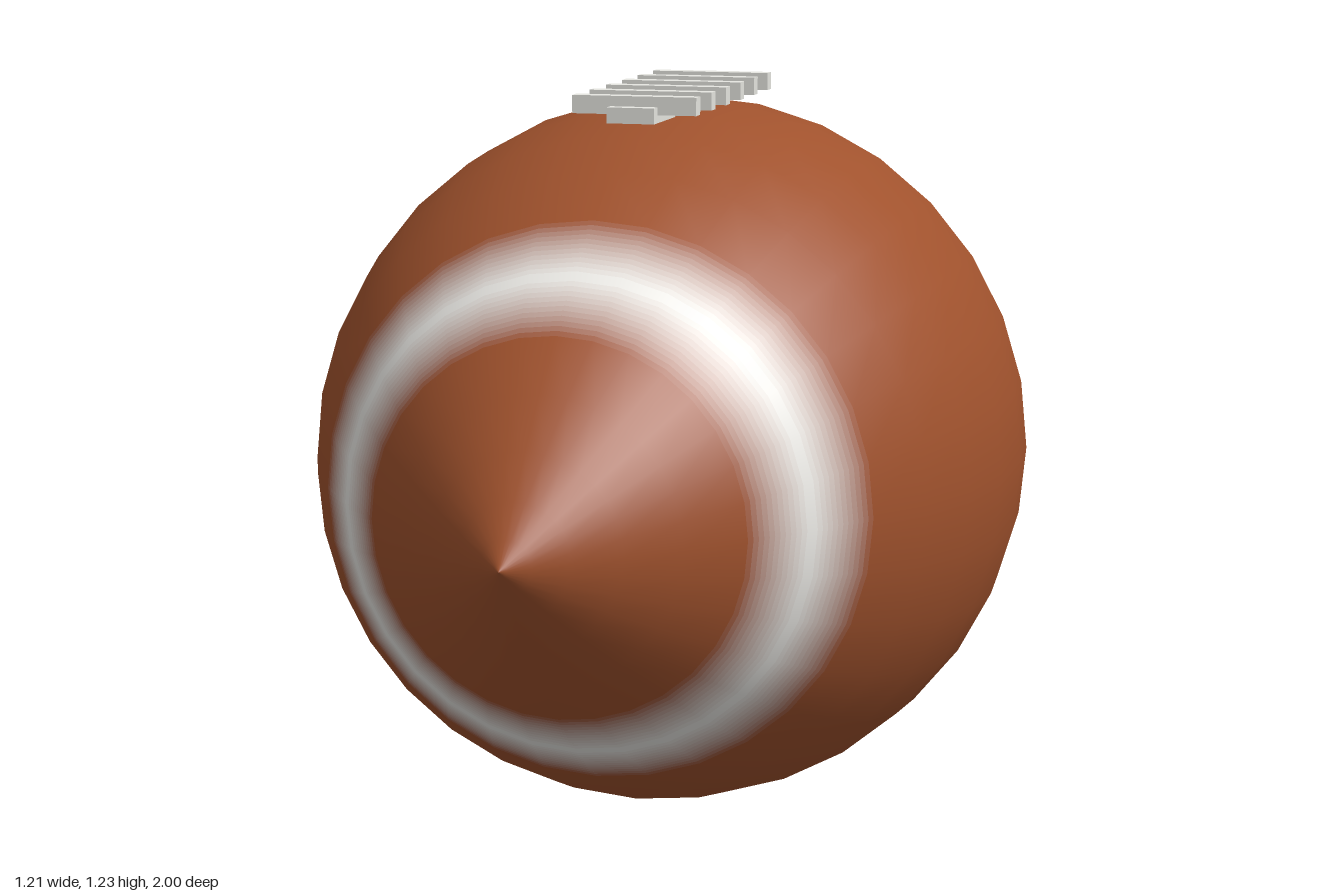
import * as THREE from 'three';

const RADIUS = 0.605, SIDES = 32, ROWS = 24;
const LEATHER = new THREE.Color(0xa0522d), WHITE = new THREE.Color(0xf0f0ec);

const material = (color) => new THREE.MeshStandardMaterial({ color });

// Profile point on ring t of the ball, running from the back tip (0) to the front tip (ROWS);
// fractional t lies on the straight line between two rings.
function profilePoint(t) {
  const ring = (i) => {
    const a = (i / ROWS) * Math.PI;
    return new THREE.Vector2(RADIUS * Math.sin(a) ** 2, -Math.cos(a));
  };
  const i = Math.floor(t);
  return t === i ? ring(i) : ring(i).lerp(ring(i + 1), t - i);
}

// Slice of the ball between two rings, with normals shared across slices
function slice(name, t0, t1, color) {
  const points = [profilePoint(t0)];
  for (let t = Math.floor(t0) + 1; t < t1; t++) points.push(profilePoint(t));
  points.push(profilePoint(t1));
  const geometry = new THREE.LatheGeometry(points, SIDES);
  const normal = geometry.attributes.normal;
  for (let i = 0; i < normal.count; i++) {
    const phi = (Math.floor(i / points.length) / SIDES) * Math.PI * 2;
    const axial = 2 * RADIUS * points[i % points.length].y;
    const n = new THREE.Vector3(Math.sin(phi), axial, Math.cos(phi)).normalize();
    normal.setXYZ(i, n.x, n.y, n.z);
  }
  geometry.rotateX(Math.PI / 2);
  const mesh = new THREE.Mesh(geometry, material(color));
  mesh.name = name;
  return mesh;
}

// Stripe that fades from leather to white and back over two rings
function stripe(name, centre) {
  const group = new THREE.Group();
  group.name = name;
  const steps = 24;
  for (let i = 0; i < steps; i++) {
    const t0 = centre - 1 + (2 * i) / steps, t1 = centre - 1 + (2 * (i + 1)) / steps;
    const white = 1 - Math.abs((t0 + t1) / 2 - centre);
    group.add(slice('stripeBand', t0, t1, LEATHER.clone().lerp(WHITE, white)));
  }
  return group;
}

function box(name, w, h, d, y, z) {
  const mesh = new THREE.Mesh(new THREE.BoxGeometry(w, h, d), material(0xe6e6e0));
  mesh.name = name;
  mesh.position.set(0, y, z);
  return mesh;
}

export function createModel() {
  const model = new THREE.Group();
  model.name = 'ball';

  // Leather body with a stripe near each tip
  const body = new THREE.Group();
  body.name = 'body';
  body.position.y = RADIUS;
  body.add(
    slice('backTip', 0, 6, LEATHER),
    stripe('backStripe', 7),
    slice('middle', 8, 16, LEATHER),
    stripe('frontStripe', 17),
    slice('frontTip', 18, 24, LEATHER),
  );

  // Laces: one long strip and six cross bars
  const laces = new THREE.Group();
  laces.name = 'laces';
  laces.add(box('laceStrip', 0.08, 0.026, 0.57, 1.203, 0));
  for (let i = 0; i < 6; i++) {
    laces.add(box('laceBar', 0.21, 0.03, 0.026, 1.218, -0.25 + i * 0.1));
  }

  model.add(body, laces);
  return model;
}
